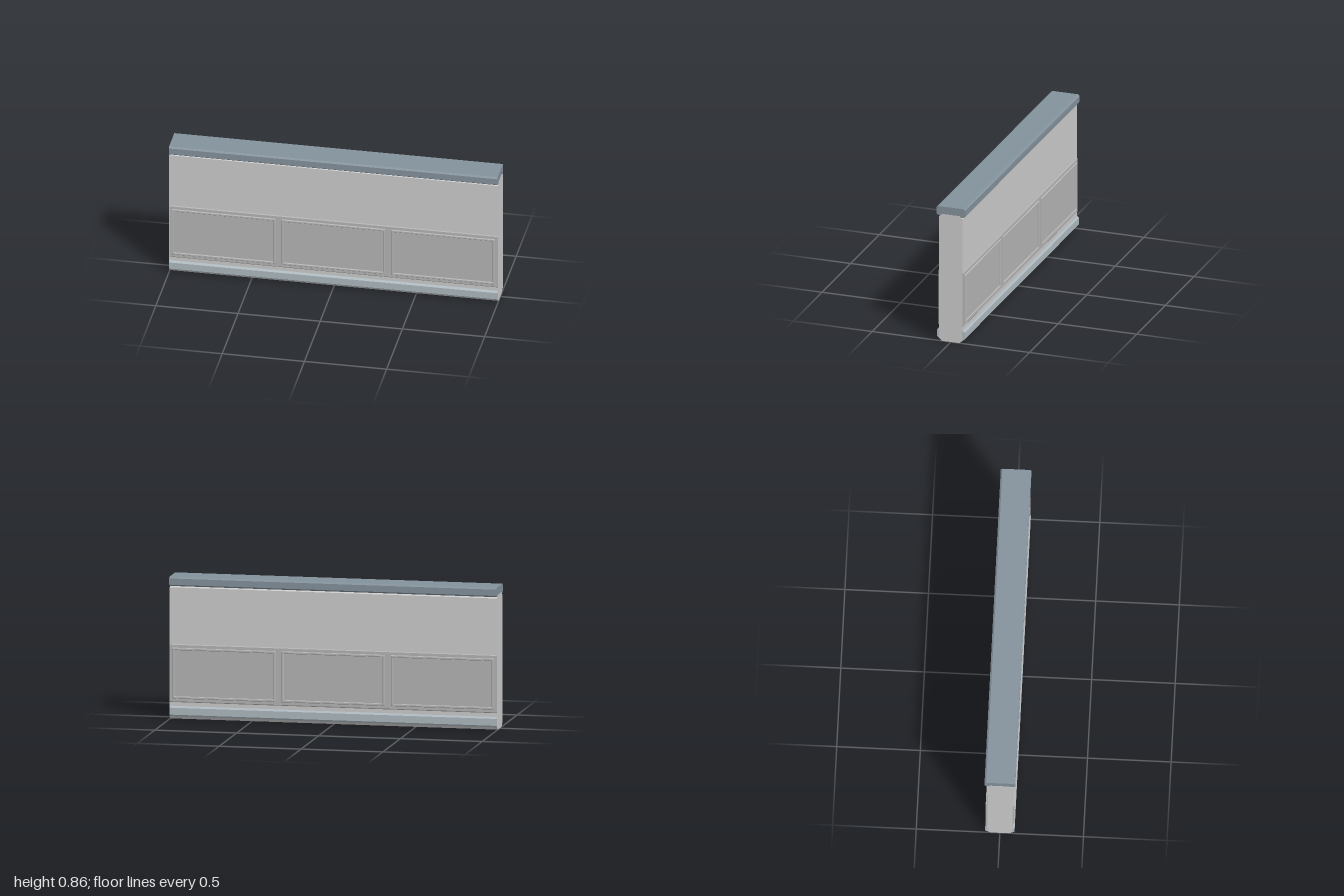
import * as THREE from 'three';

const material = (color) => new THREE.MeshStandardMaterial({ color, flatShading: true });

// Mirrored cross-section (half given as [z, y], bottom to top) run along x
function bar(name, half, length, mat) {
  const mirrored = half.map(([z, y]) => [-z, y]).reverse();
  const shape = new THREE.Shape([...half, ...mirrored].map(([z, y]) => new THREE.Vector2(z, y)));
  const geo = new THREE.ExtrudeGeometry(shape, { depth: length, bevelEnabled: false });
  geo.translate(0, 0, -length / 2).rotateY(Math.PI / 2);
  const mesh = new THREE.Mesh(geo, mat);
  mesh.name = name;
  return mesh;
}

function rectPoints(w, h) {
  return [[-w, -h], [w, -h], [w, h], [-w, h]].map(([x, y]) => new THREE.Vector2(x / 2, y / 2));
}

// Thin rectangular moulding with bevelled edges
function frame(w, h, rim, mat) {
  const bevel = 0.003;
  const shape = new THREE.Shape(rectPoints(w - 2 * bevel, h - 2 * bevel));
  const inner = rectPoints(w - 2 * (rim - bevel), h - 2 * (rim - bevel));
  shape.holes.push(new THREE.Path(inner.reverse()));
  const geo = new THREE.ExtrudeGeometry(shape, {
    depth: 0.004, bevelThickness: bevel, bevelSize: bevel, bevelSegments: 1,
  });
  const mesh = new THREE.Mesh(geo, mat);
  mesh.name = 'panelFrame';
  return mesh;
}

export function createModel() {
  const group = new THREE.Group();
  group.name = 'panelledWall';
  const wallMat = material(0xcccccc);
  const panelMat = material(0xb4b4b4);
  const capMat = material(0x83919b);
  const skirtMat = material(0xadb9bf);

  // Wall core with chamfered top and bottom
  group.add(bar('wallCore', [[0.055, 0], [0.075, 0.018], [0.075, 0.797], [0.055, 0.815]], 2, wallMat));

  // Coping along the top
  group.add(bar('topCap', [
    [0.08, 0.806], [0.092, 0.815], [0.092, 0.853], [0.082, 0.862],
  ], 1.999, capMat));

  // Skirting along the foot, on both faces
  group.add(bar('skirting', [
    [0.07, 0.016], [0.078, 0.018], [0.088, 0.028], [0.088, 0.07], [0.078, 0.08],
  ], 1.999, skirtMat));

  // Wainscot band that carries the panels
  group.add(bar('wainscotBand', [
    [0.075, 0.103], [0.079, 0.108], [0.079, 0.45], [0.075, 0.455],
  ], 1.998, panelMat));

  // Three framed panels on the front and on the back
  for (const side of [0, Math.PI]) {
    const face = new THREE.Group();
    face.name = side ? 'backPanels' : 'frontPanels';
    face.rotation.y = side;
    for (const x of [-0.668, 0, 0.668]) {
      const rim = frame(0.63, 0.308, 0.014, panelMat);
      rim.position.set(x, 0.279, 0.079);
      face.add(rim);
    }
    group.add(face);
  }
  return group;
}
